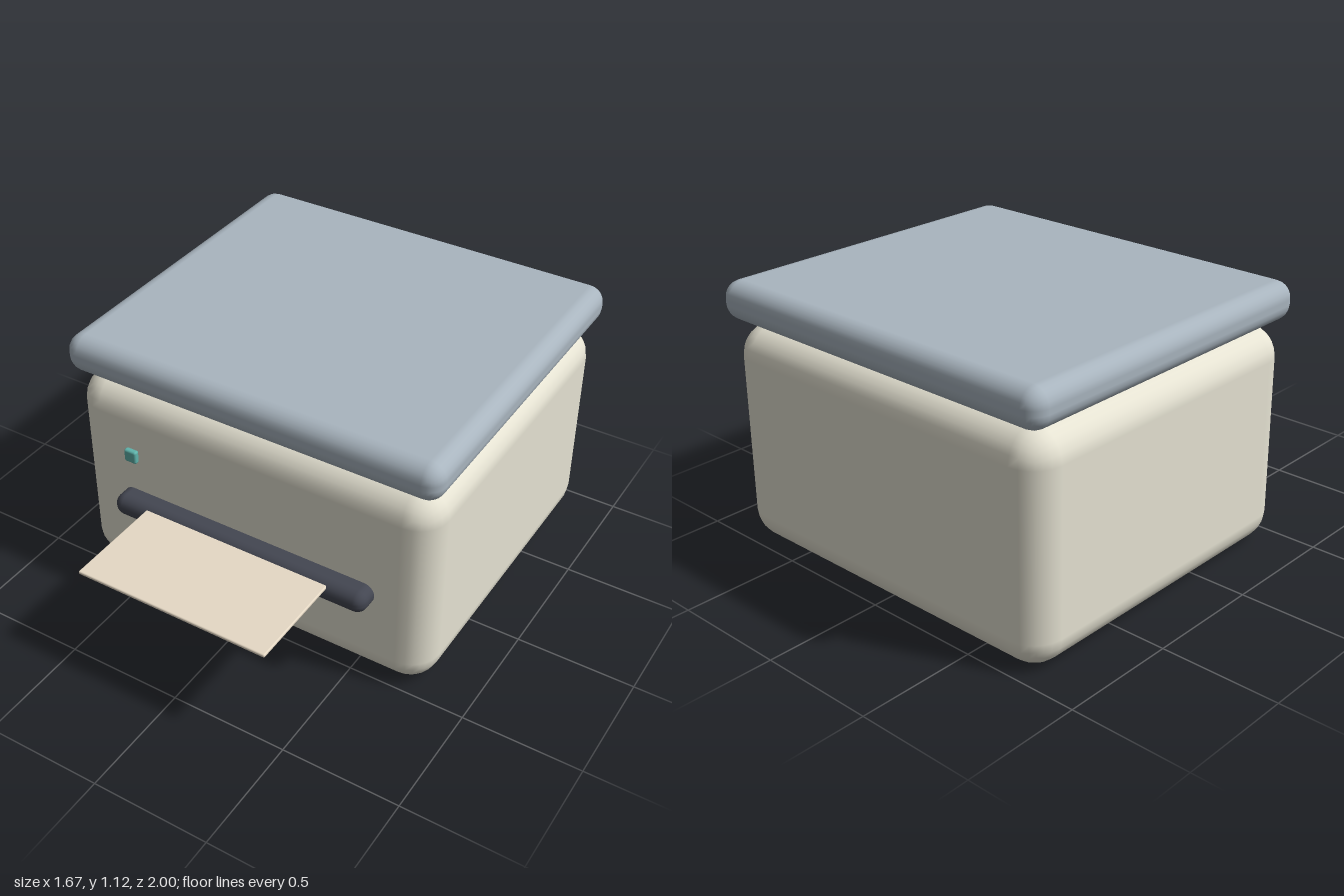
import * as THREE from 'three';
import { RoundedBoxGeometry } from 'three/addons/geometries/RoundedBoxGeometry.js';

// Rounded block given by its extents on each axis
function block(name, color, [x0, x1], [y0, y1], [z0, z1], radius, segments = 3) {
  const geometry = new RoundedBoxGeometry(x1 - x0, y1 - y0, z1 - z0, segments, radius);
  const mesh = new THREE.Mesh(geometry, new THREE.MeshStandardMaterial({ color }));
  mesh.name = name;
  mesh.position.set((x0 + x1) / 2, (y0 + y1) / 2, (z0 + z1) / 2);
  return mesh;
}

export function createModel() {
  const model = new THREE.Group();
  model.name = 'printer';
  model.add(
    // Housing and the lid hovering just above it
    block('body', 0xe6e3d3, [-0.82, 0.82], [0, 0.938], [-0.98, 0.49], 0.13),
    block('lid', 0xa9b5bf, [-0.835, 0.835], [0.955, 1.117], [-1, 0.507], 0.07),
    // Output slot with a sheet sliding out of it
    block('outputSlot', 0x434651, [-0.59, 0.59], [0.376, 0.472], [0.4, 0.582], 0.045),
    block('paper', 0xe6d9c5, [-0.427, 0.427], [0.445, 0.46], [0.4, 1], 0.006, 2),
    // Status light on the front
    block('statusLight', 0x5fb3ab, [-0.556, -0.498], [0.629, 0.687], [0.496, 0.522], 0.009, 2),
  );
  return model;
}
